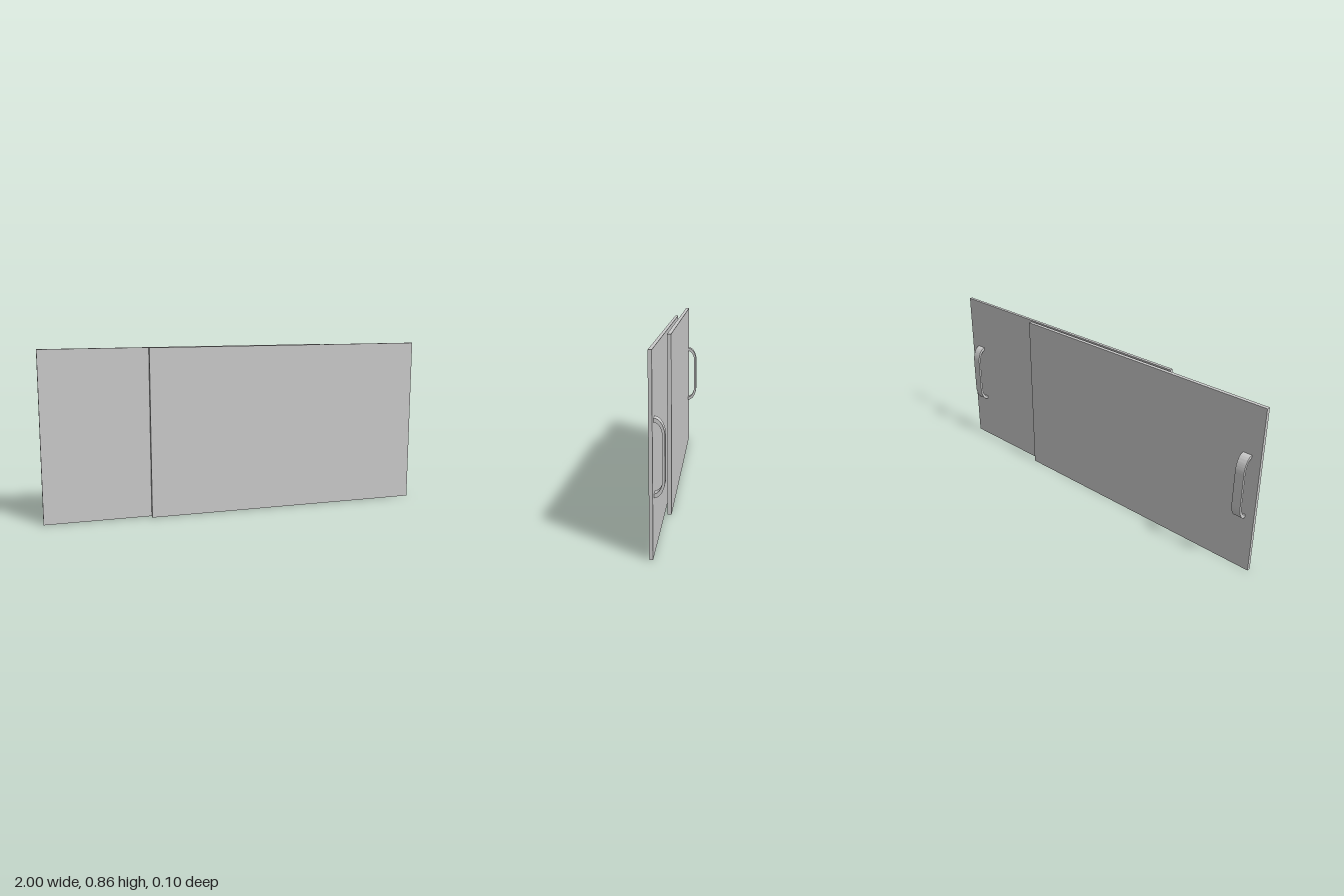
import * as THREE from 'three';
import { toCreasedNormals } from 'three/addons/utils/BufferGeometryUtils.js';

const material = new THREE.MeshStandardMaterial({ color: 0xcccccc });

// Flat door panel given by its x and z limits
function makePanel(name, x0, x1, z0, z1) {
  const height = 0.863;
  const panel = new THREE.Mesh(new THREE.BoxGeometry(x1 - x0, height, z1 - z0), material);
  panel.position.set((x0 + x1) / 2, height / 2, (z0 + z1) / 2);
  panel.name = name;
  return panel;
}

// Bow handle: flat strap with elliptical bends, standing out towards -z
function makeHandle(name, x, y, z, depth, thickness) {
  const half = 0.167, bend = 0.08, strap = 0.018, width = 0.046;
  const straight = half - bend;
  const inner = depth - thickness;
  const s = new THREE.Shape();
  s.moveTo(0, -half);
  s.absellipse(0, -straight, depth, bend, -Math.PI / 2, 0, false);
  s.absellipse(0, straight, depth, bend, 0, Math.PI / 2, false);
  s.lineTo(0, half - strap);
  s.absellipse(0, straight, inner, bend - strap, Math.PI / 2, 0, true);
  s.absellipse(0, -straight, inner, bend - strap, 0, -Math.PI / 2, true);
  s.closePath();
  const geometry = new THREE.ExtrudeGeometry(s, { depth: width, bevelEnabled: false, curveSegments: 16 });
  geometry.translate(0, 0, -width / 2);
  geometry.rotateY(Math.PI / 2);
  const handle = new THREE.Mesh(toCreasedNormals(geometry, 0.6), material);
  handle.position.set(x, y, z);
  handle.name = name;
  return handle;
}

export function createModel() {
  const model = new THREE.Group();
  model.name = 'slidingDoors';

  // Two overlapping sliding panels
  model.add(makePanel('rearPanel', -1, 0.463, 0.001, 0.02));
  model.add(makePanel('frontPanel', -0.463, 1, 0.034, 0.05));

  // One handle on the back of each panel
  model.add(makeHandle('rearPanelHandle', -0.93, 0.45, 0.001, 0.051, 0.013));
  model.add(makeHandle('frontPanelHandle', 0.925, 0.414, 0.034, 0.046, 0.011));

  return model;
}
